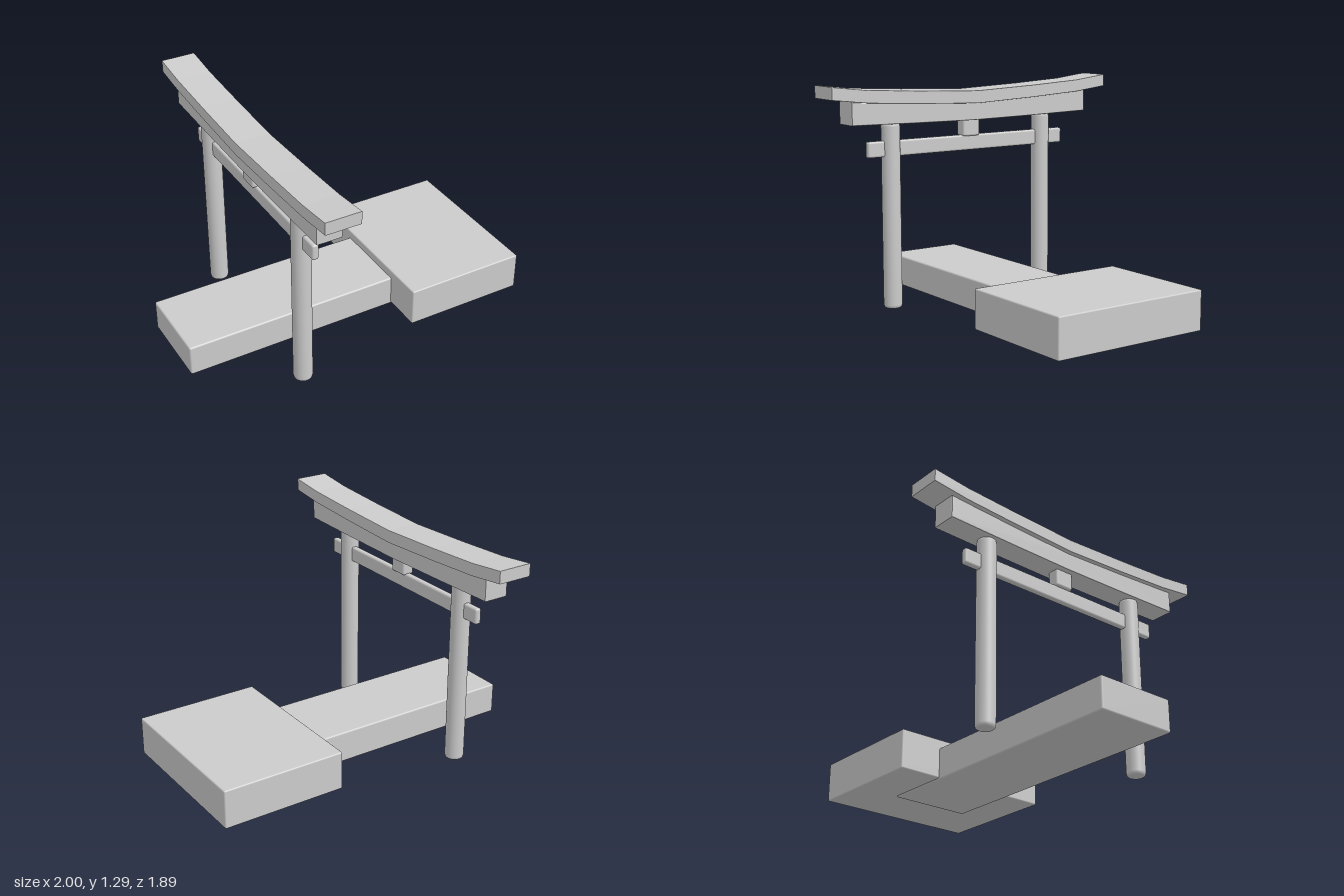
import * as THREE from 'three';
import { RoundedBoxGeometry } from 'three/addons/geometries/RoundedBoxGeometry.js';

const GATE_X = -0.465;
const material = new THREE.MeshStandardMaterial({ color: 0xcccccc });

function add(parent, name, geometry, x = 0, y = 0, z = 0) {
  const mesh = new THREE.Mesh(geometry, material);
  mesh.name = name;
  mesh.position.set(x, y, z);
  parent.add(mesh);
  return mesh;
}

// Softened block given by its min and max corners
function block(parent, name, min, max, radius) {
  const s = max.map((v, i) => v - min[i]);
  const c = max.map((v, i) => (v + min[i]) / 2);
  return add(parent, name, new RoundedBoxGeometry(...s, 2, radius), ...c);
}

// Beam along z: mirrored [z, y] outlines for its top and underside, extruded across x
function curvedBeam(parent, name, top, under, width, bevel) {
  const mirror = (half) => [...half.slice(1).reverse().map(([z, y]) => [-z, y]), ...half];
  const outline = [...mirror(under), ...mirror(top).reverse()];
  const shape = new THREE.Shape(outline.map(([z, y]) => new THREE.Vector2(z, y)));
  const depth = width - 2 * bevel;
  const geometry = new THREE.ExtrudeGeometry(shape, {
    depth, bevelEnabled: true, bevelSize: bevel, bevelThickness: bevel, bevelOffset: -bevel, bevelSegments: 2,
  });
  geometry.translate(0, 0, -depth / 2).rotateY(-Math.PI / 2);
  return add(parent, name, geometry, GATE_X, 0, 0.002);
}

export function createModel() {
  const model = new THREE.Group();
  model.name = 'gateAndPlatform';

  // Base: long walkway running into a raised platform
  block(model, 'walkway', [-1, 0.012, -0.24], [0.67, 0.195, 0.235], 0.01);
  block(model, 'platform', [0.275, 0.02, -0.49], [1, 0.245, 0.467], 0.008);

  const gate = new THREE.Group();
  gate.name = 'gate';
  model.add(gate);

  // Round pillars with softened ends
  const r = 0.054, h = 1.068;
  const profile = [[0, 0], [r - 0.012, 0], [r - 0.004, 0.006], [r, 0.02],
    [r, h - 0.02], [r - 0.004, h - 0.006], [r - 0.012, h], [0, h]];
  const pillar = new THREE.LatheGeometry(profile.map((p) => new THREE.Vector2(...p)), 32);
  add(gate, 'leftPillar', pillar, -0.47, 0, 0.529);
  add(gate, 'rightPillar', pillar, -0.47, 0, -0.525);

  // Tie beam through the pillars and the short strut above it
  block(gate, 'tieBeam', [-0.488, 0.876, -0.677], [-0.45, 0.967, 0.683], 0.012);
  block(gate, 'centreStrut', [-0.505, 0.96, -0.056], [-0.433, 1.066, 0.058], 0.012);

  // Lintel, bowed to sit under the roof beam
  curvedBeam(gate, 'lintel',
    [[0, 1.16], [0.4, 1.177], [0.73, 1.194], [0.811, 1.2]],
    [[0, 1.057], [0.4, 1.062], [0.811, 1.07]], 0.147, 0.006);

  // Roof beam with upswept ends
  curvedBeam(gate, 'roofBeam',
    [[0, 1.23], [0.4, 1.246], [0.73, 1.264], [0.945, 1.289]],
    [[0, 1.157], [0.4, 1.174], [0.73, 1.193], [0.945, 1.218]], 0.202, 0.003);

  return model;
}
